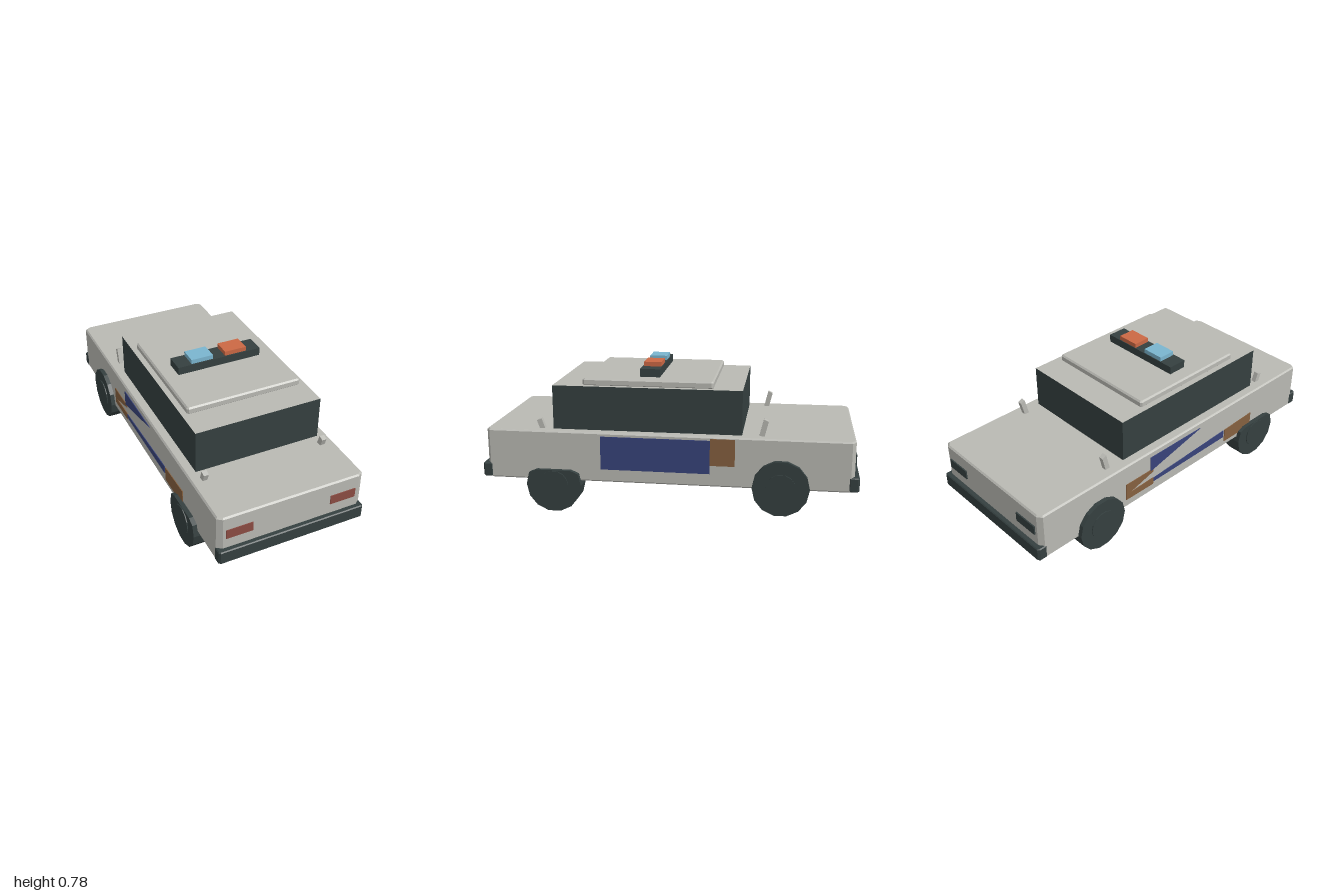
import * as THREE from 'three';

const paint = (name, color) => {
  const m = new THREE.MeshStandardMaterial({ color });
  m.name = name;
  return m;
};

export function createModel() {
  const car = new THREE.Group();
  car.name = 'patrolCar';
  const grey = paint('bodyGrey', 0xb9b9b3);
  const dark = paint('darkTrim', 0x354040);
  const blue = paint('markingBlue', 0x38437a);
  const brown = paint('markingBrown', 0x85603f);
  const red = paint('lampRed', 0x8c4c43);
  const sky = paint('beaconBlue', 0x7ab5cf);
  const orange = paint('beaconOrange', 0xcc6844);

  const add = (name, geometry, material) => {
    const mesh = new THREE.Mesh(geometry, material);
    mesh.name = name;
    car.add(mesh);
    return mesh;
  };
  // Box given by its limits on each axis
  const box = (name, material, [x0, x1], [y0, y1], [z0, z1]) => {
    const g = new THREE.BoxGeometry(x1 - x0, y1 - y0, z1 - z0);
    g.translate((x0 + x1) / 2, (y0 + y1) / 2, (z0 + z1) / 2);
    return add(name, g, material);
  };
  const shapeOf = pts => new THREE.Shape(pts.map(p => new THREE.Vector2(...p)));
  // Side outline of [z, y] points, extruded across x
  const sidePrism = (name, material, pts, x0, x1) => {
    const g = new THREE.ExtrudeGeometry(shapeOf(pts.map(([z, y]) => [-z, y])),
      { depth: x1 - x0, bevelEnabled: false });
    g.rotateY(Math.PI / 2).translate(x0, 0, 0);
    return add(name, g, material);
  };
  // Slab with cut corners (cx, cz) in plan and a bevelled rim
  const slab = (name, material, hx, hz, [y0, y1], [cx, cz], bevel, z = 0) => {
    const s = shapeOf([[hx, -hz + cz], [hx, hz - cz], [hx - cx, hz], [cx - hx, hz],
      [-hx, hz - cz], [-hx, cz - hz], [cx - hx, -hz], [hx - cx, -hz]]);
    const g = new THREE.ExtrudeGeometry(s, { depth: y1 - y0 - 2 * bevel, bevelEnabled: true,
      bevelSize: bevel, bevelOffset: -bevel, bevelThickness: bevel, bevelSegments: 1 });
    g.rotateX(-Math.PI / 2).translate(0, y0 + bevel, z);
    return add(name, g, material);
  };

  // Body, cabin with painted top, and raised roof panel
  slab('body', grey, 0.4, 0.975, [0.17, 0.44], [0.028, 0.02], 0.008);
  box('cabin', [dark, dark, grey, dark, dark, dark], [-0.348, 0.348], [0.435, 0.676], [-0.392, 0.615]);
  slab('roofPanel', grey, 0.32, 0.348, [0.672, 0.712], [0.01, 0.01], 0.008, 0.11);

  // Light bar and beacons
  box('lightBar', dark, [-0.238, 0.236], [0.708, 0.755], [0.056, 0.162]);
  box('beaconRight', sky, [-0.16, -0.037], [0.75, 0.779], [0.06, 0.155]);
  box('beaconLeft', orange, [0.034, 0.157], [0.75, 0.779], [0.06, 0.155]);

  // Bumpers
  slab('frontBumper', dark, 0.403, 0.029, [0.175, 0.25], [0.01, 0.01], 0.005, 0.971);
  slab('rearBumper', dark, 0.403, 0.029, [0.175, 0.25], [0.01, 0.01], 0.005, -0.971);

  for (const s of [-1, 1]) {
    const side = s < 0 ? 'Right' : 'Left';
    const span = (a, b) => (s > 0 ? [a, b] : [-b, -a]);

    // Lamps
    box('frontLamp' + side, red, span(0.214, 0.356), [0.31, 0.362], [0.97, 0.979]);
    box('rearLamp' + side, dark, span(0.214, 0.356), [0.31, 0.362], [-0.982, -0.97]);

    // Slanted posts on the bonnet and boot
    sidePrism('frontPost' + side, grey,
      [[0.66, 0.435], [0.69, 0.435], [0.707, 0.482], [0.68, 0.492]], ...span(0.32, 0.346));
    sidePrism('rearPost' + side, grey,
      [[-0.48, 0.435], [-0.508, 0.435], [-0.528, 0.518], [-0.503, 0.53]], ...span(0.32, 0.346));

    // Wheels; the front tyres are cut flat at the top
    for (const [end, z, y, top] of [['front', 0.604, 0.148, 0.23], ['rear', -0.6, 0.181, 1]]) {
      const n = 14, r = 0.149;
      const ring = Array.from({ length: n }, (_, i) => {
        const a = (i + 0.5) / n * Math.PI * 2;
        return [z - r * Math.sin(a), Math.min(top, y + r * Math.cos(a))];
      });
      sidePrism(end + 'Wheel' + side, dark, ring, ...span(0.318, 0.424));
      const hub = new THREE.CylinderGeometry(0.08, 0.08, 0.01, n).toNonIndexed();
      hub.computeVertexNormals();
      hub.rotateZ(Math.PI / 2).translate(s * 0.424, y, z);
      add(end + 'Hub' + side, hub, dark);
    }
  }

  // Right side markings
  const right = (name, m, pts) => sidePrism(name, m, pts, -0.404, -0.399);
  right('frontPatchRight', brown, [[0.57, 0.205], [0.345, 0.205], [0.345, 0.285], [0.57, 0.297]]);
  right('lowerStripeRight', blue, [[0.335, 0.24], [-0.225, 0.235], [-0.225, 0.258], [0.335, 0.285]]);
  right('upperWedgeRight', blue, [[0.135, 0.405], [-0.245, 0.315], [-0.245, 0.405]]);
  right('rearPatchRight', brown, [[-0.225, 0.22], [-0.42, 0.222], [-0.42, 0.322], [-0.225, 0.322],
    [-0.225, 0.305], [-0.4, 0.257], [-0.225, 0.262]]);

  // Left side markings
  box('doorPanelLeft', blue, [0.399, 0.404], [0.24, 0.42], [-0.23, 0.35]);
  box('rearPatchLeft', brown, [0.399, 0.403], [0.285, 0.43], [-0.36, -0.23]);

  return car;
}
